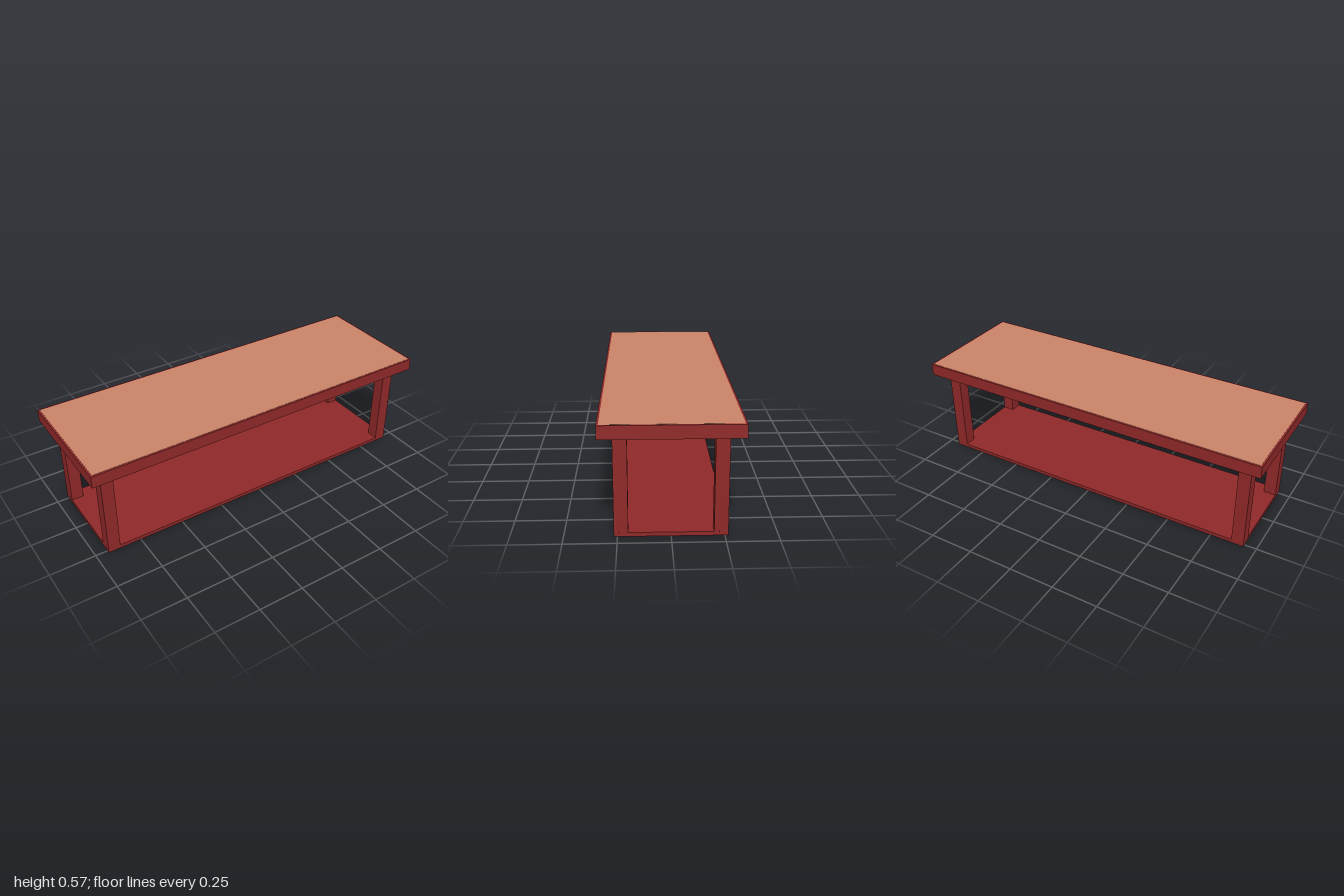
import * as THREE from 'three';

export function createModel() {
  const group = new THREE.Group();
  const frameMaterial = new THREE.MeshStandardMaterial({ color: 0x8f2828 });
  const panelMaterial = new THREE.MeshStandardMaterial({ color: 0xc98468 });

  // Box given by its base height and its size
  function addBox(name, material, width, height, depth, x, baseY, z) {
    const mesh = new THREE.Mesh(new THREE.BoxGeometry(width, height, depth), material);
    mesh.name = name;
    mesh.position.set(x, baseY + height / 2, z);
    group.add(mesh);
  }

  const legHeight = 0.5, shelfHeight = 0.02, legSize = 0.0667;

  // Table top with a lighter inlaid panel leaving a thin rim
  addBox('tableTop', frameMaterial, 2, 0.066, 0.667, 0, legHeight, 0);
  addBox('topPanel', panelMaterial, 1.98, 0.006, 0.647, 0, 0.561, 0);

  // Low shelf under the legs
  addBox('lowerShelf', frameMaterial, 1.867, shelfHeight, 0.533, 0, 0, 0);

  // Four square legs, flush with the shelf corners
  for (const sx of [-1, 1]) {
    for (const sz of [-1, 1]) {
      const name = (sz > 0 ? 'front' : 'back') + (sx > 0 ? 'Left' : 'Right') + 'Leg';
      addBox(name, frameMaterial, legSize, legHeight - shelfHeight, legSize, sx * 0.9, shelfHeight, sz * 0.2333);
    }
  }
  return group;
}
